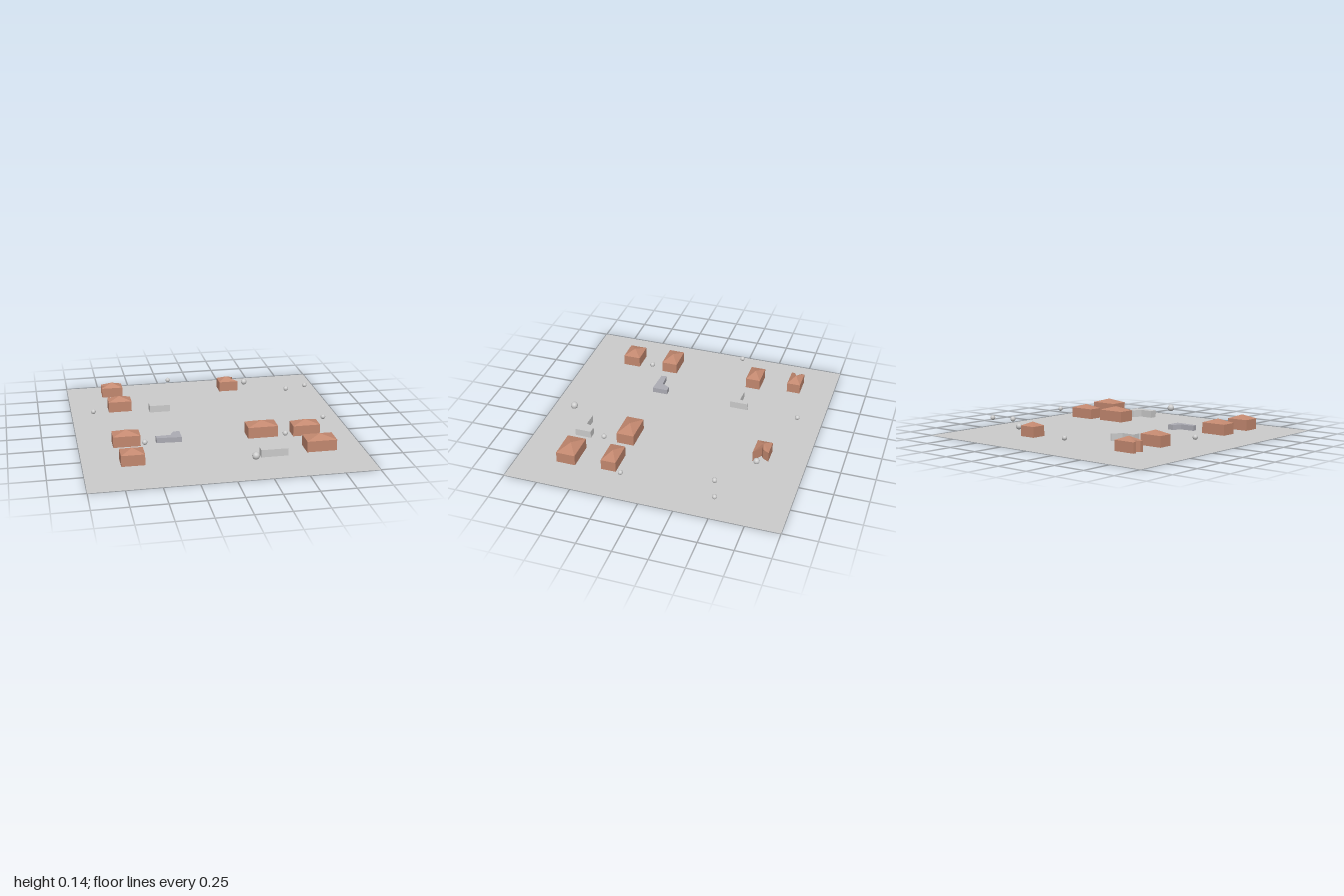
import * as THREE from 'three';

const grey = new THREE.MeshStandardMaterial({ color: 0xcccccc, side: THREE.DoubleSide, flatShading: true });
const slate = new THREE.MeshStandardMaterial({ color: 0xacacb4, side: THREE.DoubleSide, flatShading: true });
const clay = new THREE.MeshStandardMaterial({ color: 0xc3886f, side: THREE.DoubleSide, flatShading: true });
const smooth = new THREE.MeshStandardMaterial({ color: 0xcccccc });

function addMesh(parent, name, geometry, material) {
  const mesh = new THREE.Mesh(geometry, material);
  mesh.name = name;
  parent.add(mesh);
  return mesh;
}

// Upright prism over a footprint of [x, z] points
function prism(points, base, top) {
  const shape = new THREE.Shape(points.map(([x, z]) => new THREE.Vector2(x, -z)));
  const geometry = new THREE.ExtrudeGeometry(shape, { depth: top - base, bevelEnabled: false });
  return geometry.rotateX(-Math.PI / 2).translate(0, base, 0);
}

// Fan of triangles from the eaves up to one peak
function peakedRoof(points, eave, [px, py, pz]) {
  const position = [];
  points.forEach(([x, z], i) => {
    const [nx, nz] = points[(i + 1) % points.length];
    position.push(x, eave, z, px, py, pz, nx, eave, nz);
  });
  const geometry = new THREE.BufferGeometry();
  geometry.setAttribute('position', new THREE.Float32BufferAttribute(position, 3));
  geometry.computeVertexNormals();
  return geometry;
}

const rect = (x0, x1, z0, z1) => [[x0, z0], [x1, z0], [x1, z1], [x0, z1]];

function addHouse(parent, points, peak, base, eave) {
  const house = new THREE.Group();
  house.name = 'house';
  addMesh(house, 'walls', prism(points, base, eave), clay);
  addMesh(house, 'roof', peakedRoof(points, eave, peak), clay);
  parent.add(house);
}

export function createModel() {
  const model = new THREE.Group();
  model.name = 'village';

  // Ground sheet
  addMesh(model, 'ground', new THREE.PlaneGeometry(2, 2).rotateX(-Math.PI / 2), grey);

  // Rectangular houses: x range, z range, base, eave
  [
    [-0.72, -0.545, -0.45, -0.34, 0.03, 0.11],
    [-0.76, -0.565, 0.235, 0.355, 0.03, 0.11],
    [-0.74, -0.575, 0.55, 0.68, 0.025, 0.105],
    [0.215, 0.435, 0.235, 0.365, 0.03, 0.112],
    [0.55, 0.75, 0.255, 0.365, 0.022, 0.1],
    [0.565, 0.78, 0.55, 0.69, 0.032, 0.112],
  ].forEach(([x0, x1, z0, z1, base, eave]) =>
    addHouse(model, rect(x0, x1, z0, z1), [(x0 + x1) / 2, eave + 0.03, (z0 + z1) / 2], base, eave));

  // Houses with a wedge cut into one end
  addHouse(model,
    [[-0.74, -0.76], [-0.58, -0.76], [-0.58, -0.66], [-0.74, -0.66], [-0.74, -0.685], [-0.68, -0.71], [-0.74, -0.735]],
    [-0.66, 0.14, -0.71], 0.035, 0.11);
  addHouse(model,
    [[0.2, -0.74], [0.325, -0.74], [0.3, -0.695], [0.275, -0.68], [0.35, -0.63], [0.2, -0.63]],
    [0.262, 0.14, -0.685], 0.035, 0.112);

  // Flat-topped L-shaped blocks
  [
    [[[-0.41, -0.365], [-0.305, -0.36], [-0.27, -0.43], [-0.255, -0.43], [-0.255, -0.295], [-0.41, -0.295]], 0.025, 0.077, grey],
    [[[-0.45, 0.28], [-0.34, 0.275], [-0.31, 0.215], [-0.265, 0.215], [-0.265, 0.33], [-0.445, 0.32]], 0.028, 0.066, slate],
    [[[0.235, 0.63], [0.34, 0.635], [0.37, 0.57], [0.43, 0.57], [0.43, 0.69], [0.235, 0.69]], 0.02, 0.075, grey],
  ].forEach(([points, base, top, material]) =>
    addMesh(model, 'lBlock', prism(points, base, top), material));

  // Tree crowns: x, z, radius
  [
    [-0.19, -0.83, 0.018], [0.41, -0.675, 0.023], [0.705, -0.455, 0.019],
    [0.873, -0.505, 0.018], [-0.847, -0.23, 0.018], [0.823, 0.19, 0.018],
    [-0.545, 0.43, 0.019], [0.467, 0.45, 0.019], [0.17, 0.805, 0.027],
  ].forEach(([x, z, r]) =>
    addMesh(model, 'treeCrown', new THREE.SphereGeometry(r, 16, 12), smooth).position.set(x, 0.089, z));

  return model;
}
